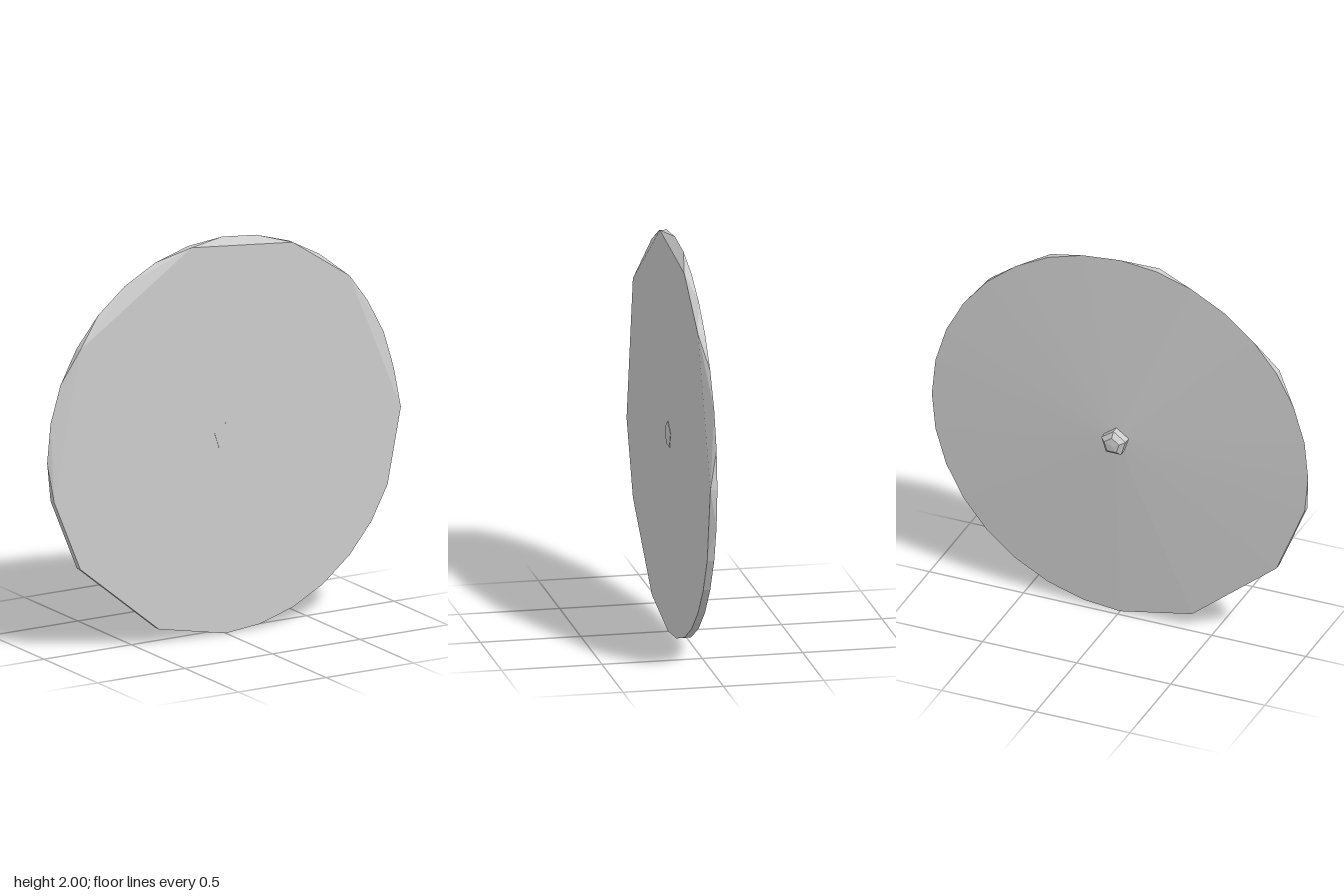
import * as THREE from 'three';

const BACK_Z = 0.03, FRONT_Z = 0.065, APEX_Z = -0.015;

// Point k of a 32-step unit circle
const rim = (k, z) => {
  const a = (k / 32) * Math.PI * 2;
  return [Math.cos(a), 1 + Math.sin(a), z];
};

function discGeometry() {
  // Steps kept on each rim, anticlockwise from +x
  const missing = [18, 20, 21, 23];
  const back = [...Array(33).keys()].filter((k) => !missing.includes(k));
  const front = [0, 4, 6, 9, 13, 17, 19, 22, 24, 25, 26, 27, 28, 29, 30, 32];
  const pos = [];
  const tri = (a, b, c) => pos.push(...a, ...b, ...c);
  const B = (k) => rim(k, BACK_Z), F = (k) => rim(k, FRONT_Z);

  // Shallow cone at the back
  for (let i = 0; i + 1 < back.length; i++) tri([0, 1, APEX_Z], B(back[i + 1]), B(back[i]));

  for (let i = 0; i + 1 < front.length; i++) {
    const a = front[i], b = front[i + 1];
    // Flat front
    tri([0, 1, FRONT_Z], F(a), F(b));
    // Faceted edge: fans from both front corners meet at the middle back point
    const arc = back.filter((k) => k >= a && k <= b);
    const mid = Math.floor(arc.length / 2);
    for (let j = 0; j + 1 < arc.length; j++) tri(F(j < mid ? a : b), B(arc[j]), B(arc[j + 1]));
    tri(F(a), B(arc[mid]), F(b));
  }
  const g = new THREE.BufferGeometry();
  g.setAttribute('position', new THREE.Float32BufferAttribute(pos, 3));
  g.computeVertexNormals();
  return g;
}

export function createModel() {
  const group = new THREE.Group();
  const material = new THREE.MeshStandardMaterial({ color: 0xcccccc, flatShading: true });

  const disc = new THREE.Mesh(discGeometry(), material);
  disc.name = 'disc';
  group.add(disc);

  // Five-sided hub through the centre, chamfered at the back
  const profile = [[0, -0.077], [0.042, -0.073], [0.068, -0.05], [0.068, 0.067], [0, 0.067]];
  const hubGeometry = new THREE.LatheGeometry(profile.map(([r, y]) => new THREE.Vector2(r, y)), 5, Math.PI);
  hubGeometry.rotateX(Math.PI / 2);
  const hub = new THREE.Mesh(hubGeometry, material);
  hub.name = 'hub';
  hub.position.y = 1;
  group.add(hub);

  return group;
}
